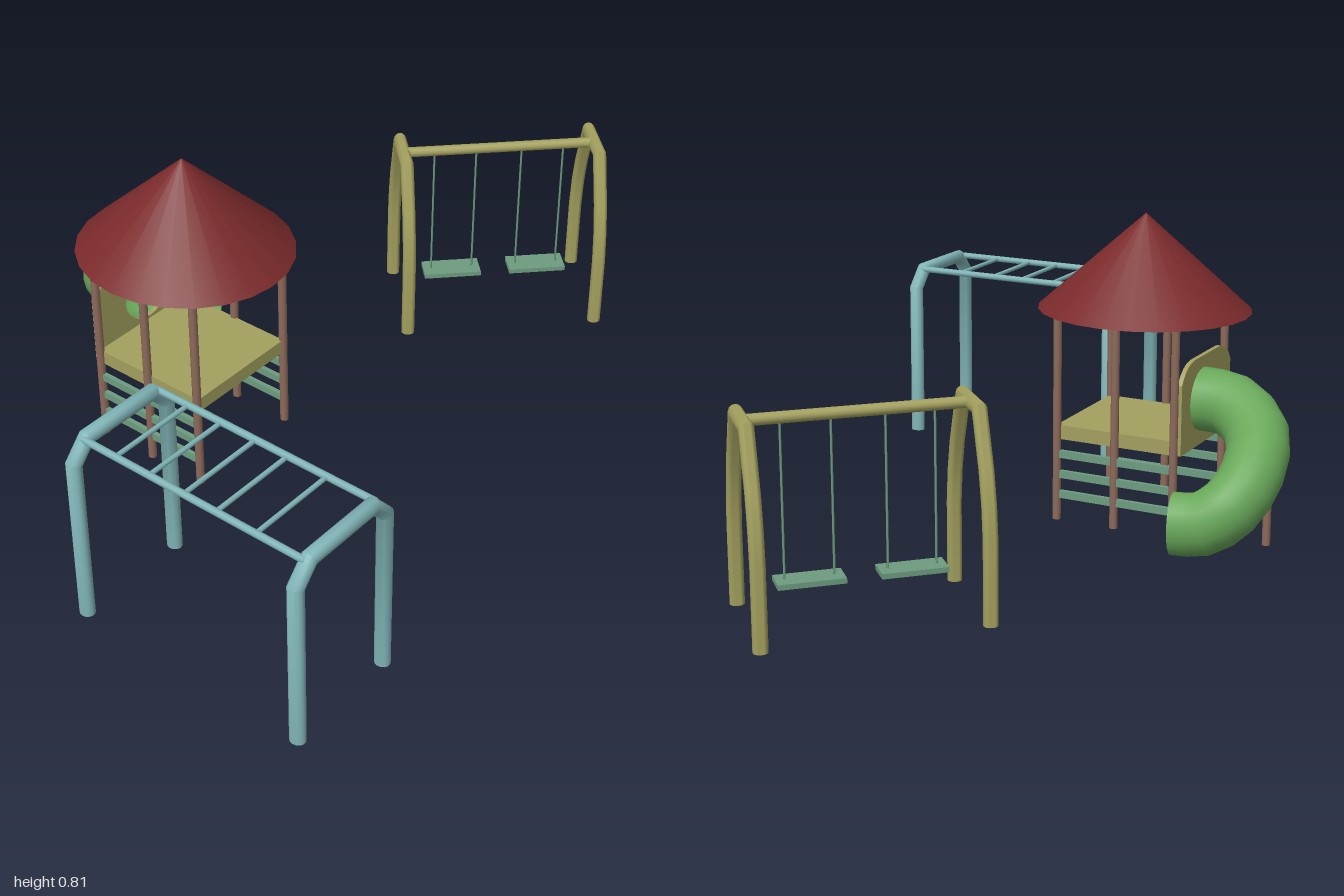
import * as THREE from 'three';
import { toCreasedNormals } from 'three/addons/utils/BufferGeometryUtils.js';

const mat = (color, side = THREE.FrontSide) => new THREE.MeshStandardMaterial({ color, side });
const V = (x, y, z) => new THREE.Vector3(x, y, z);
const TEAL = mat(0x7fb3b5), YELLOW = mat(0xa3a05e), BROWN = mat(0x8c6a5a), SEAT = mat(0x6d9c80);
const GREEN = mat(0x69a85a, THREE.DoubleSide), RED = mat(0x7b2a2b, THREE.DoubleSide);

function add(parent, name, geometry, material, x = 0, y = 0, z = 0) {
  const mesh = new THREE.Mesh(geometry, material);
  mesh.name = name;
  mesh.position.set(x, y, z);
  parent.add(mesh);
  return mesh;
}

const box = (parent, name, material, w, h, d, x, y, z) =>
  add(parent, name, new THREE.BoxGeometry(w, h, d), material, x, y, z);

// Straight round bar between two points
function bar(parent, name, material, a, b, r, sides = 10) {
  const dir = b.clone().sub(a);
  const mid = a.clone().add(b).multiplyScalar(0.5);
  const mesh = add(parent, name, new THREE.CylinderGeometry(r, r, dir.length(), sides), material, mid.x, mid.y, mid.z);
  mesh.quaternion.setFromUnitVectors(V(0, 1, 0), dir.normalize());
  return mesh;
}

// Mitred pipe through points; radius(t) returns [side radius, normal radius]
function sweep(points, radius, up, sides, capped) {
  const pos = [], index = [], last = points.length - 1;
  points.forEach((p, i) => {
    const before = points[Math.max(i, 1)].clone().sub(points[Math.max(i, 1) - 1]).normalize();
    const after = points[Math.min(i + 1, last)].clone().sub(points[Math.min(i + 1, last) - 1]).normalize();
    const T = before.clone().add(after).normalize();
    const S = up.clone().cross(T).normalize();
    const N = T.clone().cross(S);
    const [rs, rn] = radius(i / last);
    const mitre = 1 / T.dot(after);
    for (let j = 0; j < sides; j++) {
      const a = (j / sides) * Math.PI * 2;
      const v = p.clone().addScaledVector(S, rs * mitre * Math.cos(a)).addScaledVector(N, rn * Math.sin(a));
      pos.push(v.x, v.y, v.z);
    }
  });
  for (let i = 0; i < last; i++) {
    for (let j = 0; j < sides; j++) {
      const k = (j + 1) % sides, a = i * sides + j, b = i * sides + k;
      index.push(a, b, a + sides, b, b + sides, a + sides);
    }
  }
  if (capped) {
    for (let j = 1; j < sides - 1; j++) {
      const e = last * sides;
      index.push(0, j + 1, j, e, e + j, e + j + 1);
    }
  }
  const g = new THREE.BufferGeometry();
  g.setAttribute('position', new THREE.Float32BufferAttribute(pos, 3));
  g.setIndex(index);
  return toCreasedNormals(g, 0.9);
}

// Climbing bars: two arches, two rails and rungs
function climbingBars() {
  const g = new THREE.Group();
  g.name = 'climbingBars';
  const arch = [[-0.15, 0], [-0.15, 0.44], [-0.105, 0.49], [0.105, 0.49], [0.15, 0.44], [0.15, 0]]
    .map(([x, y]) => V(x, y, 0));
  for (const z of [0.045, 0.68]) {
    add(g, 'barArch', sweep(arch, () => [0.018, 0.02], V(0, 0, 1), 14, true), TEAL, 0, 0, z);
  }
  for (const s of [-1, 1]) {
    bar(g, 'sideRail', TEAL, V(s * 0.118, 0.492, 0.045), V(s * 0.118, 0.492, 0.68), 0.009);
  }
  for (const z of [0.145, 0.245, 0.345, 0.437, 0.547]) {
    bar(g, 'rung', TEAL, V(-0.118, 0.492, z), V(0.118, 0.492, z), 0.006);
  }
  g.position.x = -0.832;
  return g;
}

// Swing set: two bowed frames, top beam and two hanging seats
function swingSet() {
  const g = new THREE.Group();
  g.name = 'swingSet';
  const half = [[0.153, 0], [0.153, 0.2], [0.142, 0.285], [0.122, 0.36], [0.068, 0.485]];
  const outline = [...half, ...half.map(([z, y]) => [-z, y]).reverse()].map(([z, y]) => V(0, y + (y > 0.4 ? 0.005 : 0), z));
  for (const s of [-1, 1]) {
    add(g, 'swingFrame', sweep(outline, () => [0.017, 0.018], V(1, 0, 0), 14, true), YELLOW, s * 0.265, 0, 0);
    const x = s * 0.121;
    box(g, 'swingSeat', SEAT, 0.16, 0.013, 0.07, x, 0.1, 0);
    for (const t of [-1, 1]) {
      bar(g, 'swingRope', SEAT, V(x + t * 0.058, 0.1, 0), V(x + t * 0.058, 0.49, 0), 0.003, 6);
    }
  }
  bar(g, 'swingBeam', YELLOW, V(-0.265, 0.49, 0), V(0.265, 0.49, 0), 0.014, 14);
  g.position.set(0.681, 0, 0.03);
  g.rotation.y = -Math.PI / 4;
  return g;
}

// Tower: posts, deck, side bars, back panel with a hole, roof and tube slide
function tower() {
  const g = new THREE.Group();
  g.name = 'tower';
  const cx = -0.3, cz = -0.23, h = 0.165;
  for (const s of [-1, 1]) {
    for (const dz of [-h, 0, h]) {
      bar(g, 'post', BROWN, V(cx + s * h, 0, cz + dz), V(cx + s * h, 0.575, cz + dz), 0.011);
    }
    for (const y of [0.07, 0.125, 0.18]) {
      box(g, 'sideBar', SEAT, 0.012, 0.02, 2 * h, cx + s * h, y, cz);
    }
  }
  box(g, 'deck', YELLOW, 0.325, 0.038, 0.335, cx, 0.238, cz);

  // Back panel
  const panel = new THREE.Shape();
  panel.moveTo(-0.163, 0.22);
  panel.lineTo(0.163, 0.22);
  panel.lineTo(0.163, 0.405);
  panel.quadraticCurveTo(0.135, 0.455, 0.075, 0.455);
  panel.lineTo(-0.075, 0.455);
  panel.quadraticCurveTo(-0.135, 0.455, -0.163, 0.405);
  panel.closePath();
  const hole = new THREE.Path();
  hole.absarc(0.025, 0.342, 0.082, 0, Math.PI * 2, true);
  panel.holes.push(hole);
  add(g, 'backPanel', new THREE.ExtrudeGeometry(panel, { depth: 0.012, bevelEnabled: false, curveSegments: 12 }),
    YELLOW, cx, 0, -0.414);

  // Open cone roof, slightly longer front to back
  const roof = add(g, 'roof', new THREE.ConeGeometry(0.265, 0.252, 24, 1, true), RED, cx, 0.681, -0.235);
  roof.scale.z = 1.065;

  // Curling tube slide with its support post
  const path = new THREE.CatmullRomCurve3([
    V(-0.275, 0.34, -0.405), V(-0.272, 0.333, -0.5), V(-0.21, 0.285, -0.59), V(-0.1, 0.217, -0.622),
    V(-0.02, 0.15, -0.597), V(0.01, 0.105, -0.535), V(0.025, 0.1, -0.463),
  ]);
  add(g, 'tubeSlide', sweep(path.getPoints(12), (t) => [0.083 - 0.018 * t * t, 0.083 - 0.003 * t], V(0, 1, 0), 20, false), GREEN);
  bar(g, 'slidePost', BROWN, V(-0.2, 0, -0.628), V(-0.2, 0.24, -0.628), 0.011);
  return g;
}

export function createModel() {
  const model = new THREE.Group();
  model.name = 'playground';
  model.add(climbingBars(), swingSet(), tower());
  return model;
}
